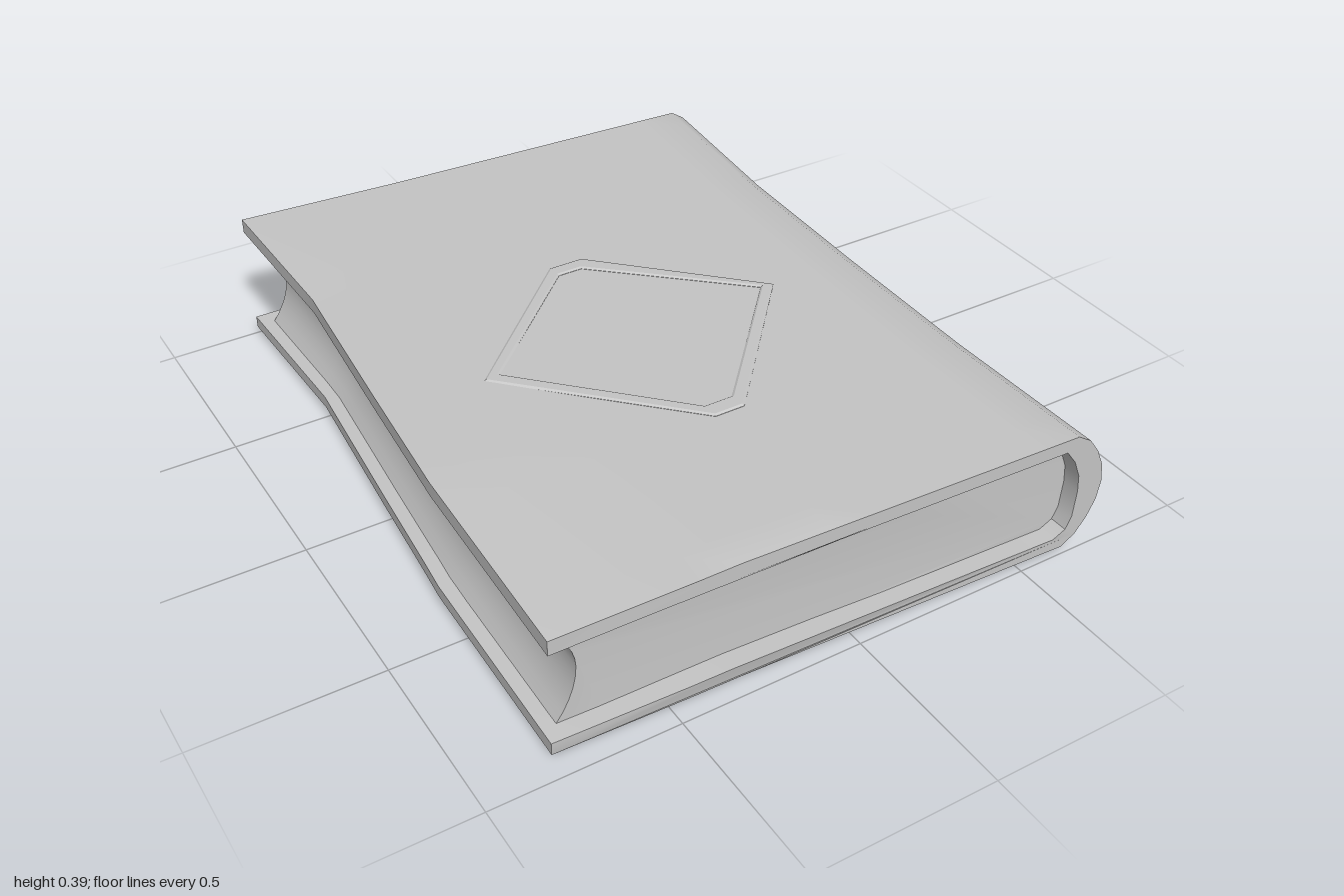
import * as THREE from 'three';
import { toCreasedNormals } from 'three/addons/utils/BufferGeometryUtils.js';

const clothGrey = new THREE.MeshStandardMaterial({ color: 0xc4c4c4 });
clothGrey.name = 'clothGrey';

// piecewise linear lookup through [position, value] pairs
function lookup(table, t) {
  if (t <= table[0][0]) return table[0][1];
  for (let i = 1; i < table.length; i++) {
    const [a, va] = table[i - 1], [b, vb] = table[i];
    if (t <= b) return va + (vb - va) * (t - a) / (b - a);
  }
  return table[table.length - 1][1];
}

// outline of the worn, skewed book seen from above
const foreEdge = [[-1, -0.74], [-0.5, -0.725], [-0.4, -0.733], [0, -0.765], [0.4, -0.795], [1, -0.8]];
const spineEdge = [[-1, 0.79], [-0.5, 0.745], [0, 0.73], [0.5, 0.722], [1, 0.73]];
const frontEdge = [[0, 0.93], [0.26, 0.957], [1, 1]];
const backEdge = [[0, -1], [0.29, -1], [1, -0.96]];
const topLift = [[-1, 0.016], [-0.45, 0.004], [0, 0.003], [0.4, 0.003], [1, -0.028]];
const bottomLift = [[0.3, 0], [1, -0.02]];

// bend a straight book into the worn shape; pages stay down where the cover lifts
function warp(geometry, isPages) {
  const p = geometry.attributes.position;
  for (let i = 0; i < p.count; i++) {
    const s = (p.getX(i) + 0.8) / 1.53, y = p.getY(i), v = p.getZ(i);
    const left = lookup(foreEdge, v), right = lookup(spineEdge, v);
    const back = lookup(backEdge, s), front = lookup(frontEdge, s);
    let dy = lookup(y > 0.19 ? topLift : bottomLift, v) * Math.max(0, 1 - s / 0.3);
    if (isPages) dy = Math.min(dy, 0) * Math.min(1, Math.abs(y - 0.19) / 0.12);
    p.setXYZ(i, left + s * (right - left), y + dy, back + (v + 1) / 2 * (front - back));
  }
  return toCreasedNormals(geometry, 0.6);
}

// closed outline with long sides cut into short steps
function outline(points) {
  const out = [];
  points.forEach(([x, y], i) => {
    const [nx, ny] = points[(i + 1) % points.length];
    const n = Math.max(1, Math.ceil(Math.hypot(nx - x, ny - y) / 0.12));
    for (let k = 0; k < n; k++) out.push(new THREE.Vector2(x + (nx - x) * k / n, y + (ny - y) * k / n));
  });
  return new THREE.Shape(out);
}

function loft(points, halfLength, isPages) {
  const g = new THREE.ExtrudeGeometry(outline(points), { depth: 2 * halfLength, steps: 20, bevelEnabled: false });
  g.translate(0, 0, -halfLength);
  return warp(g, isPages);
}

export function createModel() {
  const book = new THREE.Group();
  book.name = 'book';
  const add = (name, geometry) => {
    const mesh = new THREE.Mesh(geometry, clothGrey);
    mesh.name = name;
    book.add(mesh);
  };

  // cover: two boards joined by a rounded spine
  const spineOuter = [[0.63, 0.02], [0.67, 0.047], [0.7, 0.09], [0.722, 0.14], [0.73, 0.195],
    [0.722, 0.25], [0.7, 0.3], [0.67, 0.342], [0.63, 0.368]];
  const spineInner = [[0.6, 0.33], [0.63, 0.29], [0.65, 0.24], [0.655, 0.19], [0.65, 0.11], [0.635, 0.075], [0.6, 0.055]];
  add('cover', loft([[-0.8, 0.02], ...spineOuter, [-0.8, 0.372], [-0.8, 0.33],
    ...spineInner, [-0.8, 0.055]], 1, false));

  // page block with a hollow fore-edge
  const hollow = [];
  for (let i = 0; i <= 10; i++) {
    const t = i / 5 - 1;
    hollow.push([-0.71 - 0.055 * t * t, 0.192 - 0.14 * t]);
  }
  add('pages', loft([...hollow, [0.6, 0.052], [0.64, 0.075], [0.657, 0.11], [0.662, 0.19],
    [0.657, 0.24], [0.635, 0.292], [0.6, 0.333]], 0.95, true));

  // raised diamond frame on the top board
  const outer = [[-0.5, -0.05], [-0.08, -0.475], [0.005, -0.475], [0.385, -0.05], [0, 0.335], [-0.1, 0.335]];
  const inner = [[-0.45, -0.045], [-0.08, -0.425], [0, -0.425], [0.345, -0.045], [-0.025, 0.29], [-0.095, 0.29]];
  const toVectors = list => list.map(([x, y]) => new THREE.Vector2(x, y));
  const frame = new THREE.Shape(toVectors(outer));
  frame.holes.push(new THREE.Path(toVectors(inner)));
  const frameGeometry = new THREE.ExtrudeGeometry(frame, {
    depth: 0.001, bevelEnabled: true, bevelThickness: 0.004, bevelSize: 0.006, bevelOffset: -0.006, bevelSegments: 1,
  });
  frameGeometry.rotateX(-Math.PI / 2);
  frameGeometry.translate(0, 0.3705, 0);
  add('diamondFrame', frameGeometry);

  return book;
}
